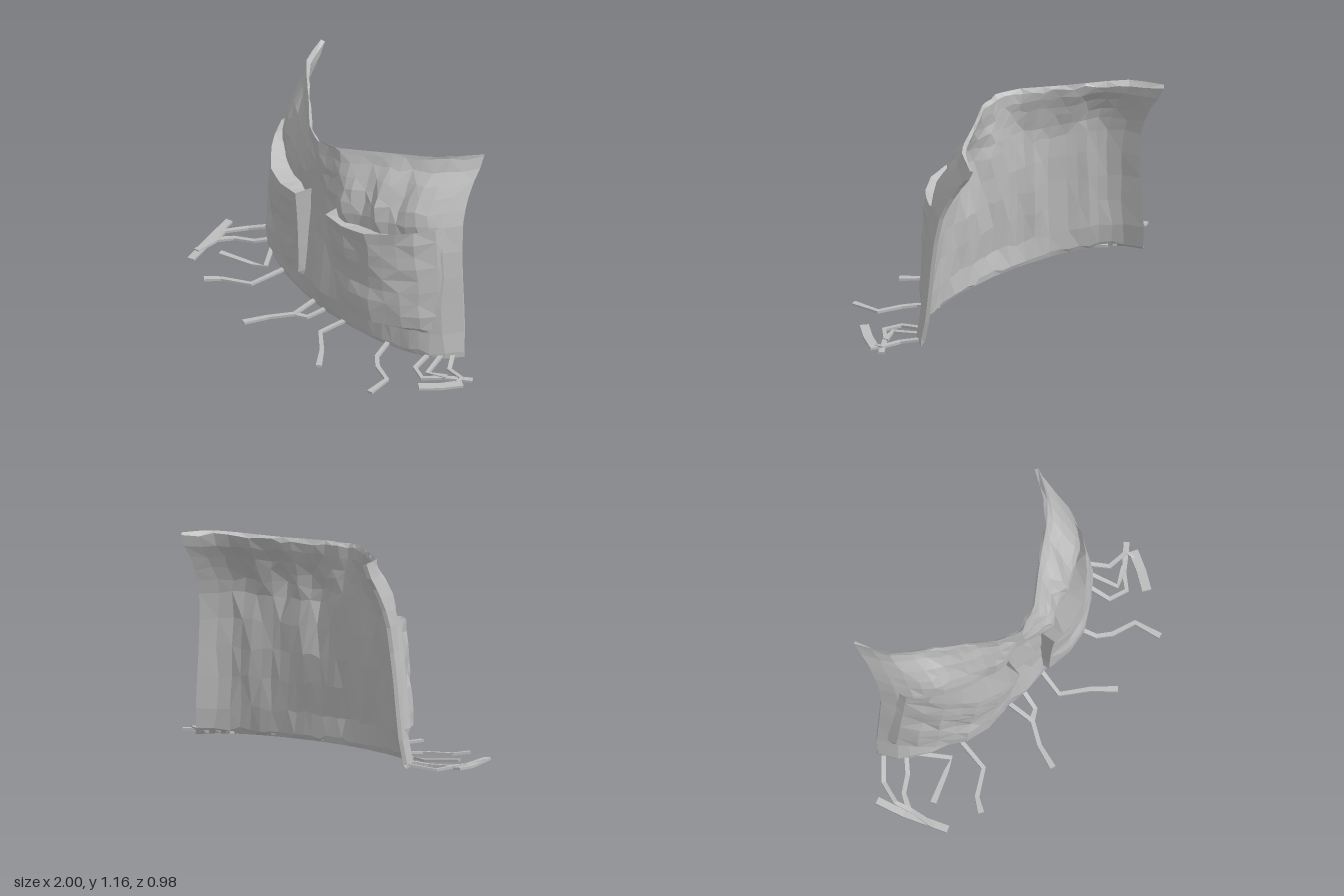
import * as THREE from 'three';

const cloth = new THREE.MeshStandardMaterial({ color: 0xbdbdbd, side: THREE.DoubleSide });
cloth.name = 'grey cloth';

// Piecewise linear curve through [position, value] pairs
function curve(pts, x) {
  if (x <= pts[0][0]) return pts[0][1];
  for (let i = 1; i < pts.length; i++) {
    const [a, va] = pts[i - 1], [b, vb] = pts[i];
    if (x <= b) return va + (vb - va) * (x - a) / (b - a);
  }
  return pts[pts.length - 1][1];
}

// Repeatable wobble in -1..1
function wobble(i, j, k) {
  const n = Math.sin(i * 12.99 + j * 78.23 + k * 37.72) * 43758.55;
  return (n - Math.floor(n)) * 2 - 1;
}

// Faceted surface from a grid of points, point(row, column) => [x, y, z]
function surface(name, rows, cols, point) {
  const pos = [], index = [];
  for (let i = 0; i < rows; i++) for (let j = 0; j < cols; j++) pos.push(...point(i, j));
  for (let i = 0; i < rows - 1; i++) for (let j = 0; j < cols - 1; j++) {
    const a = i * cols + j, b = a + 1, c = a + cols, d = c + 1;
    if ((i + j) % 2) index.push(a, b, d, a, d, c);
    else index.push(a, b, c, b, d, c);
  }
  let geo = new THREE.BufferGeometry();
  geo.setAttribute('position', new THREE.Float32BufferAttribute(pos, 3));
  geo.setIndex(index);
  geo = geo.toNonIndexed();
  geo.computeVertexNormals();
  const mesh = new THREE.Mesh(geo, cloth);
  mesh.name = name;
  return mesh;
}

// Sheet outline: half width by height, depth across the lower and top edges, backward lean
const WIDTH = [[0.03, 0.795], [0.2, 0.775], [0.6, 0.735], [0.85, 0.71], [1, 0.695], [1.15, 0.695]];
const SHIFT = [[0.7, 0], [1.15, -0.035]];
const LOW = [[0, 0.08], [0.26, 0.065], [0.5, 0.03], [0.7, -0.025], [0.86, -0.1], [0.95, -0.17], [1, -0.255]];
const TOP = [[0, 0.105], [0.19, 0.05], [0.43, -0.08], [0.72, -0.22], [0.86, -0.3], [0.93, -0.38], [1, -0.475]];
const LEAN = [[0.2, 0], [0.6, 0.04], [0.8, 0.16], [0.9, 0.33], [1, 0.58], [1.08, 0.86], [1.14, 1]];
const RIM = [[-0.73, 1.155], [-0.4, 1.135], [0, 1.115], [0.3, 1.135], [0.6, 1.165], [0.66, 1.16]];

// Creases pushed forward or back: [x, y, reach x, reach y, depth]
const FOLDS = [
  [0.19, 0.82, 0.14, 0.27, 0.075], [0.37, 0.88, 0.08, 0.22, 0.065], [0.28, 0.94, 0.05, 0.16, -0.02],
  [0.55, 0.86, 0.13, 0.22, 0.05], [0.45, 0.95, 0.06, 0.15, -0.03], [-0.02, 0.72, 0.07, 0.16, -0.03],
  [-0.55, 0.92, 0.1, 0.18, 0.04], [-0.2, 0.85, 0.14, 0.2, 0.025], [-0.66, 0.8, 0.05, 0.2, -0.02],
  [0, 1.12, 0.05, 0.12, -0.015], [0, 0.2, 0.4, 0.18, 0.03],
  [0.25, 0.5, 0.09, 0.5, -0.025], [-0.25, 0.5, 0.09, 0.5, -0.025],
  [0.54, 0.5, 0.08, 0.5, -0.03], [-0.54, 0.5, 0.08, 0.5, -0.03],
];

function sheetZ(x, y) {
  const s = Math.min(1, Math.abs(x - curve(SHIFT, y)) / curve(WIDTH, y));
  let z = THREE.MathUtils.lerp(curve(LOW, s), curve(TOP, s), curve(LEAN, y));
  for (const [fx, fy, rx, ry, d] of FOLDS)
    z += d * Math.max(0, 1 - Math.abs(x - fx) / rx) * Math.max(0, 1 - Math.abs(y - fy) / ry);
  // Lower hem tucks in at the sides
  return z + 0.03 * s * s * Math.max(0, 1 - y / 0.2);
}

// Thin closed sheet, its front and back meeting at the hems
function makeSheet() {
  const N = 30;
  const levels = [0, 0.025, 0.13, 0.28, 0.42, 0.56, 0.68, 0.75, 0.81, 0.87, 0.93, 0.98, 1];
  return surface('clothPanel', levels.length, 2 * N + 3, (i, j) => {
    const back = j > N && j < 2 * N + 2;
    const col = j === 2 * N + 2 ? 0 : back ? 2 * N + 1 - j : j;
    const t = col / N * 2 - 1;
    const edge = Math.abs(t) === 1, hem = i === 0 || i === levels.length - 1;
    let y = 0.03 + 1.1 * levels[i];
    let x = t * curve(WIDTH, y) + curve(SHIFT, y);
    if (!edge) x += 0.006 * wobble(i, col, 1);
    y = 0.03 + (curve(RIM, x) - 0.03) * levels[i];
    if (!hem) y += 0.012 * wobble(i, col, 2);
    let z = sheetZ(x, y) + (edge || hem ? 0 : 0.006 * wobble(i, col >> 1, 3));
    if (i === 0) z -= 0.01;
    if (back && !hem) { x -= 0.014 * t; z -= 0.017; }
    return [x, y, z];
  });
}

// Puffed patch pocket: front face with walls running back to the sheet and a sunken top
const PUFF = [[0, 0.145], [0.25, 0.15], [0.5, 0.115], [0.75, 0.015], [0.9, -0.07], [1, -0.15]];
function makePocket(name, side, c) {
  const C = 9, R = 9;
  return surface(name, R + 2, C + 2, (i, j) => {
    const a = THREE.MathUtils.clamp((j - 1) / (C - 1), 0, 1);
    const v = THREE.MathUtils.clamp((i - 1) / (R - 1), 0, 1);
    const u = side > 0 ? a : 1 - a;
    const rim = i <= 1 || i >= R || j <= 1 || j >= C;
    const lerp = THREE.MathUtils.lerp;
    let x = lerp(lerp(c[0][0], c[1][0], u), lerp(c[2][0], c[3][0], u), v);
    let y = lerp(lerp(c[0][1], c[1][1], u), lerp(c[2][1], c[3][1], u), v);
    y -= 0.025 * Math.sin(Math.PI * u) * v;
    let z = curve(PUFF, u) - 0.03 * (1 - v) * (1 - u) + 0.03 * v * v * (1 - u);
    z += rim ? 0 : 0.01 * wobble(i >> 1, j >> 1, 5 + side);
    x += rim ? 0 : 0.012 * wobble(i, j, 7 + side);
    // Outer ring: walls, base and recessed opening
    if (j === 0) x -= 0.012;
    if (j === C + 1) x += 0.012;
    if (i === 0) y -= 0.04;
    if (i === R + 1) y -= 0.05;
    if (i === 0 || i === R + 1 || j === 0 || j === C + 1) z = Math.min(z, sheetZ(x, y) - 0.006);
    return [x, y, z];
  });
}

// Flat loose strip lying on the ground along an [x, z] path
function makeStrip(path, k, width, loose) {
  const last = path.length - 1;
  const ring = [[-1, -1], [1, -1], [1, 1], [-1, 1], [-1, -1]];
  return surface('looseStrip', path.length + 2, 5, (r, j) => {
    const i = THREE.MathUtils.clamp(r - 1, 0, last);
    const cap = r === 0 || r === last + 2 ? 0 : 1;
    const p = path[Math.max(0, i - 1)], q = path[Math.min(last, i + 1)];
    const dx = q[0] - p[0], dz = q[1] - p[1], len = Math.hypot(dx, dz);
    const w = ring[j][0] * cap * width / 2 * (i === last || loose ? 1 : 0.75);
    const y = (i === 0 && !loose ? 0.045 : 0.024 + 0.009 * wobble(i, k, 4));
    return [path[i][0] - dz / len * w, y + ring[j][1] * cap * 0.007, path[i][1] + dx / len * w];
  });
}

const STRIPS = [
  [[-0.78, -0.2], [-0.88, -0.1], [-0.92, 0.03], [-0.89, 0.12], [-0.87, 0.26]],
  [[-0.69, -0.12], [-0.76, -0.04], [-0.85, 0.02], [-0.9, 0.11]],
  [[-0.66, -0.1], [-0.53, 0.06], [-0.6, 0.09], [-0.78, 0.17]],
  [[-0.43, 0.02], [-0.45, 0.22], [-0.59, 0.31], [-0.64, 0.39]],
  [[-0.1, 0.07], [-0.08, 0.22], [-0.15, 0.34], [-0.19, 0.48]],
  [[0, 0.08], [-0.02, 0.18], [-0.09, 0.22]],
  [[0.15, 0.06], [0.13, 0.21], [0.27, 0.31], [0.37, 0.41]],
  [[0.45, 0], [0.5, 0.12], [0.57, 0.17], [0.7, 0.21], [0.74, 0.36]],
  [[0.66, -0.13], [0.7, 0.02], [0.8, 0.05], [0.86, -0.03], [0.99, -0.14]],
  [[0.75, -0.2], [0.83, -0.11], [0.95, -0.1], [0.96, -0.03], [0.87, 0.12]],
  [[0.72, -0.15], [0.78, 0], [0.88, -0.05]],
];

export function createModel() {
  const model = new THREE.Group();
  model.name = 'clothWithPockets';
  model.add(makeSheet());
  // Corners: bottom inner, bottom outer, top inner, top outer
  model.add(makePocket('leftPocket', 1, [[0.15, 0.205], [0.71, 0.2], [0.13, 0.765], [0.66, 0.81]]));
  model.add(makePocket('rightPocket', -1, [[-0.18, 0.205], [-0.735, 0.235], [-0.13, 0.76], [-0.66, 0.81]]));
  STRIPS.forEach((path, k) => model.add(makeStrip(path, k, 0.032, false)));
  model.add(makeStrip([[-0.98, -0.05], [-0.93, 0.1], [-0.83, 0.33]], 20, 0.04, true));
  model.add(makeStrip([[0.98, -0.08], [0.93, 0.03], [0.87, 0.13]], 21, 0.05, true));
  return model;
}
